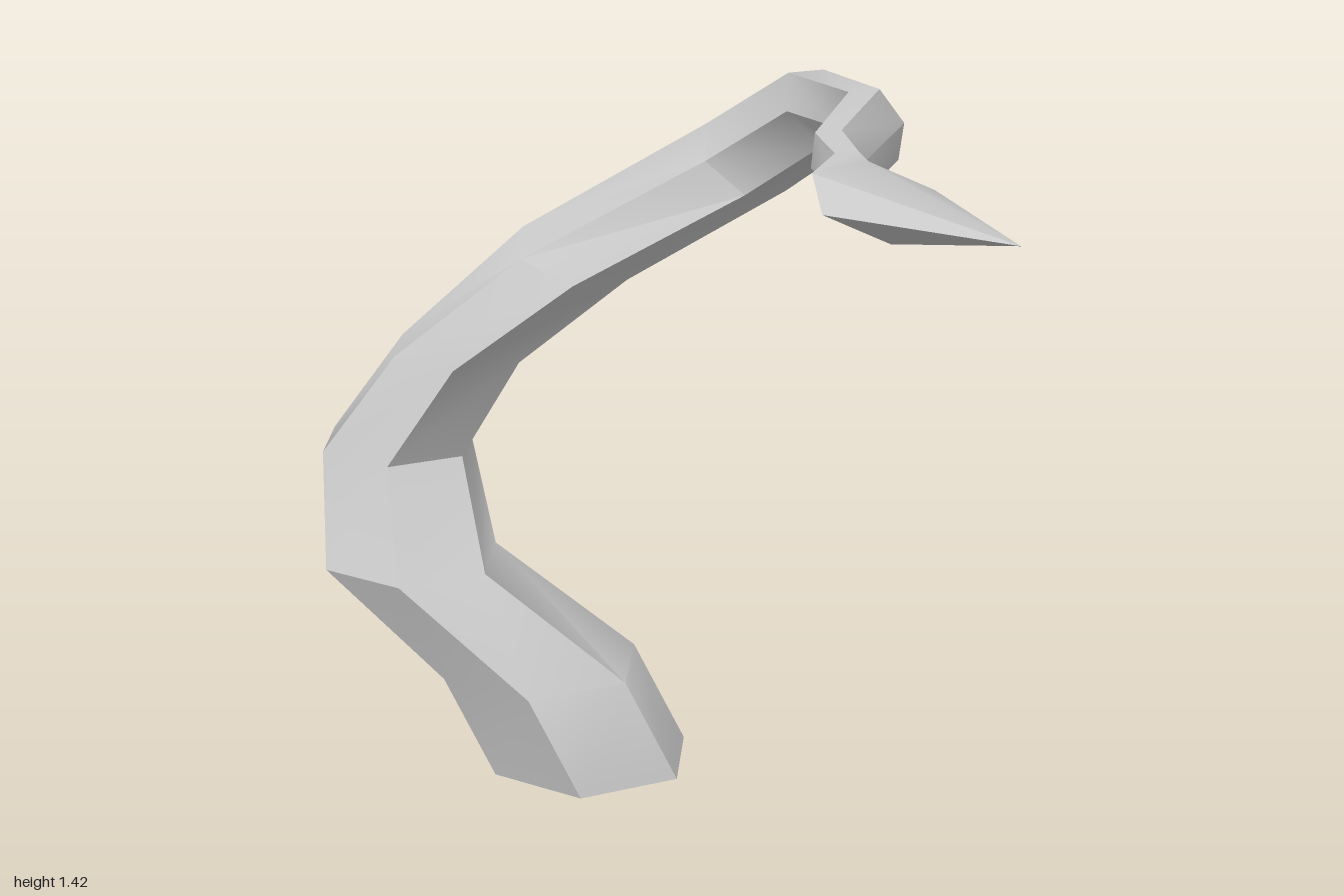
import * as THREE from 'three';
import { toCreasedNormals } from 'three/addons/utils/BufferGeometryUtils.js';

// Six-sided ring: centre, half-width axis U, depth axis V (pointing back and up)
function ring([c, u, v]) {
  return Array.from({ length: 6 }, (_, j) => {
    const a = Math.PI * (1 + j / 3);
    return c.map((p, k) => p + u[k] * Math.cos(a) + v[k] * Math.sin(a));
  });
}

// Skin over successive rings, optionally closed by a start point and an end point
function loft(sections, start, end) {
  const rings = sections.map(ring);
  const pos = [];
  const tri = (...pts) => pts.forEach((p) => pos.push(...p));
  for (let j = 0; j < 6; j++) {
    const k = (j + 1) % 6;
    for (let i = 0; i < rings.length - 1; i++) {
      const a = rings[i], b = rings[i + 1];
      tri(a[j], a[k], b[k]);
      tri(a[j], b[k], b[j]);
    }
    const last = rings[rings.length - 1];
    if (start) tri(start, rings[0][k], rings[0][j]);
    if (end) tri(last[j], last[k], end);
  }
  const geo = new THREE.BufferGeometry();
  geo.setAttribute('position', new THREE.Float32BufferAttribute(pos, 3));
  return toCreasedNormals(geo, THREE.MathUtils.degToRad(42));
}

export function createModel() {
  const group = new THREE.Group();
  group.name = 'tail';
  const material = new THREE.MeshStandardMaterial({ color: 0xcccccc, side: THREE.DoubleSide });

  // Centre, half width, depth axis (y, z) for each ring from root to neck
  const sections = [
    [[0.057, 0, -0.555], 0.203, 0, -0.202],
    [[-0.03, 0.2, -0.595], 0.201, 0, -0.2],
    [[-0.23, 0.4, -0.748], 0.175, 0, -0.18],
    [[-0.212, 0.6, -0.855], 0.153, 0, -0.167],
    [[-0.115, 0.8, -0.758], 0.134, 0.005, -0.148],
    [[0.056, 1.003, -0.6], 0.11, 0.037, -0.13],
    [[0.302, 1.203, -0.383], 0.083, 0.06, -0.087],
    [[0.333, 1.33, -0.157], 0.07, 0.0625, -0.07],
    [[0.25, 1.364, 0.165], 0.058, 0.061, -0.038],
    [[0.055, 1.363, 0.395], 0.047, 0.054, -0.036],
    [[0.01, 1.363, 0.54], 0.04, 0.052, -0.045],
  ].map(([c, w, vy, vz]) => [c, [w, 0, 0], [0, vy, vz]]);

  const stem = new THREE.Mesh(loft(sections, sections[0][0], null), material);
  stem.name = 'tailStem';

  // Flattened arrow-shaped end
  const flare = [[-0.018, 1.365, 0.65], [0.113, 0, -0.033], [-0.042, 0.052, -0.06]];
  const neck = sections[sections.length - 1];
  const tip = new THREE.Mesh(loft([neck, flare], null, [0, 1.375, 1]), material);
  tip.name = 'tailTip';

  group.add(stem, tip);
  return group;
}
